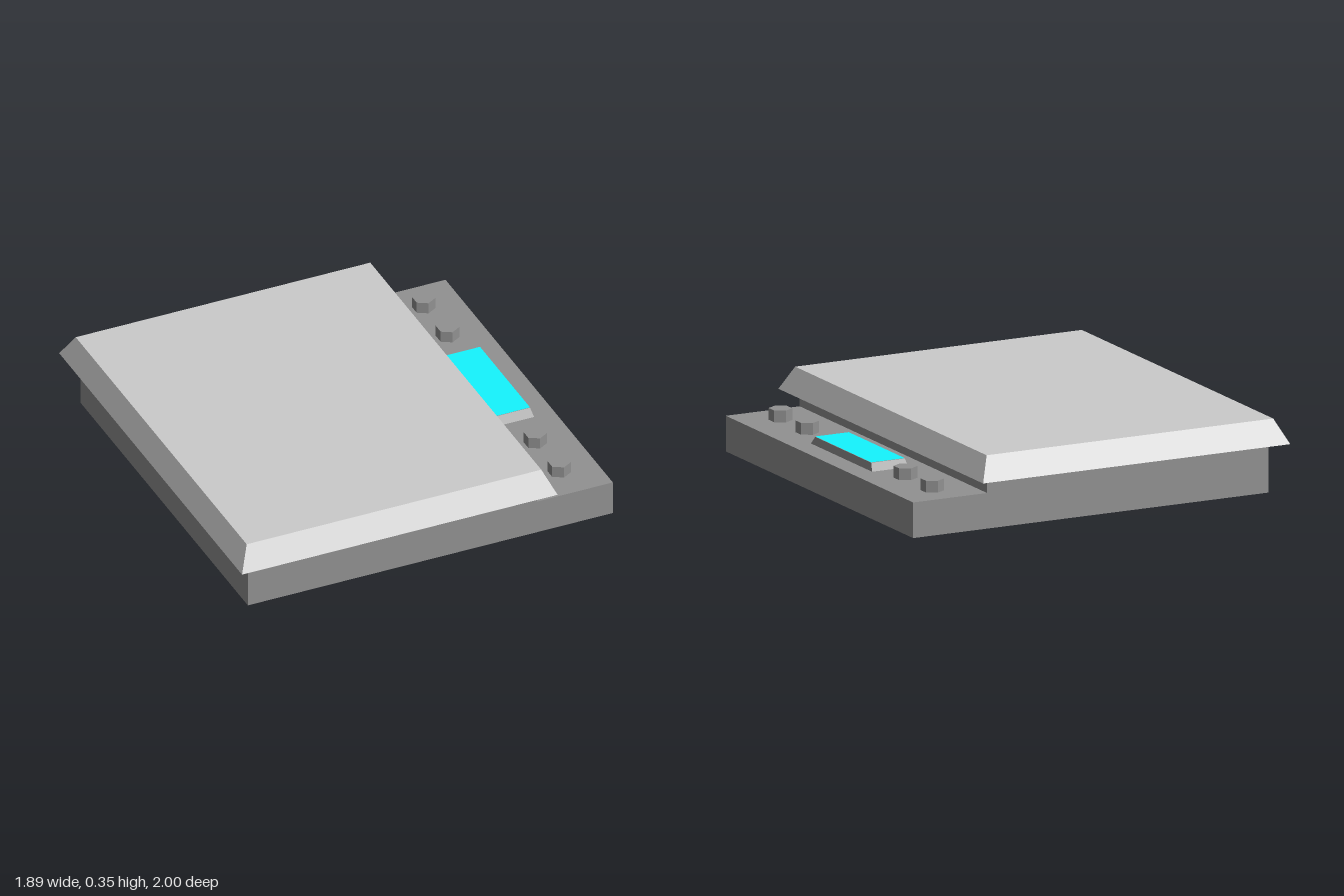
import * as THREE from 'three';

const grey = new THREE.MeshStandardMaterial({ color: 0xcccccc, flatShading: true });
const darkGrey = new THREE.MeshStandardMaterial({ color: 0x919191, flatShading: true });
const cyan = new THREE.MeshStandardMaterial({ color: 0x14f5ff, flatShading: true });

// Closed solid through stacked rectangles [y, x0, x1, z0, z1], lowest first
function stackRects(levels) {
  const pos = [], idx = [];
  for (const [y, x0, x1, z0, z1] of levels) {
    pos.push(x0, y, z1, x1, y, z1, x1, y, z0, x0, y, z0);
  }
  for (let l = 0; l < levels.length - 1; l++) {
    for (let i = 0; i < 4; i++) {
      const a = l * 4 + i, b = l * 4 + (i + 1) % 4;
      idx.push(a, b, b + 4, a, b + 4, a + 4);
    }
  }
  const t = (levels.length - 1) * 4;
  idx.push(0, 2, 1, 0, 3, 2, t, t + 1, t + 2, t, t + 2, t + 3);
  const indexed = new THREE.BufferGeometry();
  indexed.setAttribute('position', new THREE.Float32BufferAttribute(pos, 3));
  indexed.setIndex(idx);
  const geometry = indexed.toNonIndexed();
  geometry.computeVertexNormals();
  return geometry;
}

export function createModel() {
  const model = new THREE.Group();
  model.name = 'kitchenScale';
  const add = (name, geometry, material) => {
    const mesh = new THREE.Mesh(geometry, material);
    mesh.name = name;
    model.add(mesh);
    return mesh;
  };

  // Stepped body with a low control ledge on the +x side
  const profile = new THREE.Shape([
    [-0.88, 0], [0.945, 0], [0.945, 0.167], [0.565, 0.167], [0.565, 0.216], [-0.88, 0.216],
  ].map(([x, y]) => new THREE.Vector2(x, y)));
  const body = new THREE.ExtrudeGeometry(profile, { depth: 1.83, bevelEnabled: false });
  body.translate(0, 0, -0.915);
  add('body', body, darkGrey);

  // Weighing platform: flared underside, bevelled rim, flat top
  add('platform', stackRects([
    [0.216, -0.88, 0.565, -0.915, 0.915],
    [0.238, -0.948, 0.63, -1, 1],
    [0.35, -0.895, 0.578, -0.935, 0.935],
  ]), grey);

  // Display housing and its lit screen
  add('displayHousing', stackRects([
    [0.167, 0.655, 0.843, -0.32, 0.277],
    [0.203, 0.663, 0.835, -0.297, 0.25],
  ]), darkGrey);
  const screen = new THREE.PlaneGeometry(0.172, 0.547);
  screen.rotateX(-Math.PI / 2);
  add('screen', screen, cyan).position.set(0.749, 0.205, -0.0235);

  // Hexagonal buttons
  const button = new THREE.CylinderGeometry(0.054, 0.054, 0.056, 6);
  for (const z of [-0.75, -0.488, 0.47, 0.732]) {
    add('button', button, darkGrey).position.set(0.76, 0.194, z);
  }
  return model;
}
